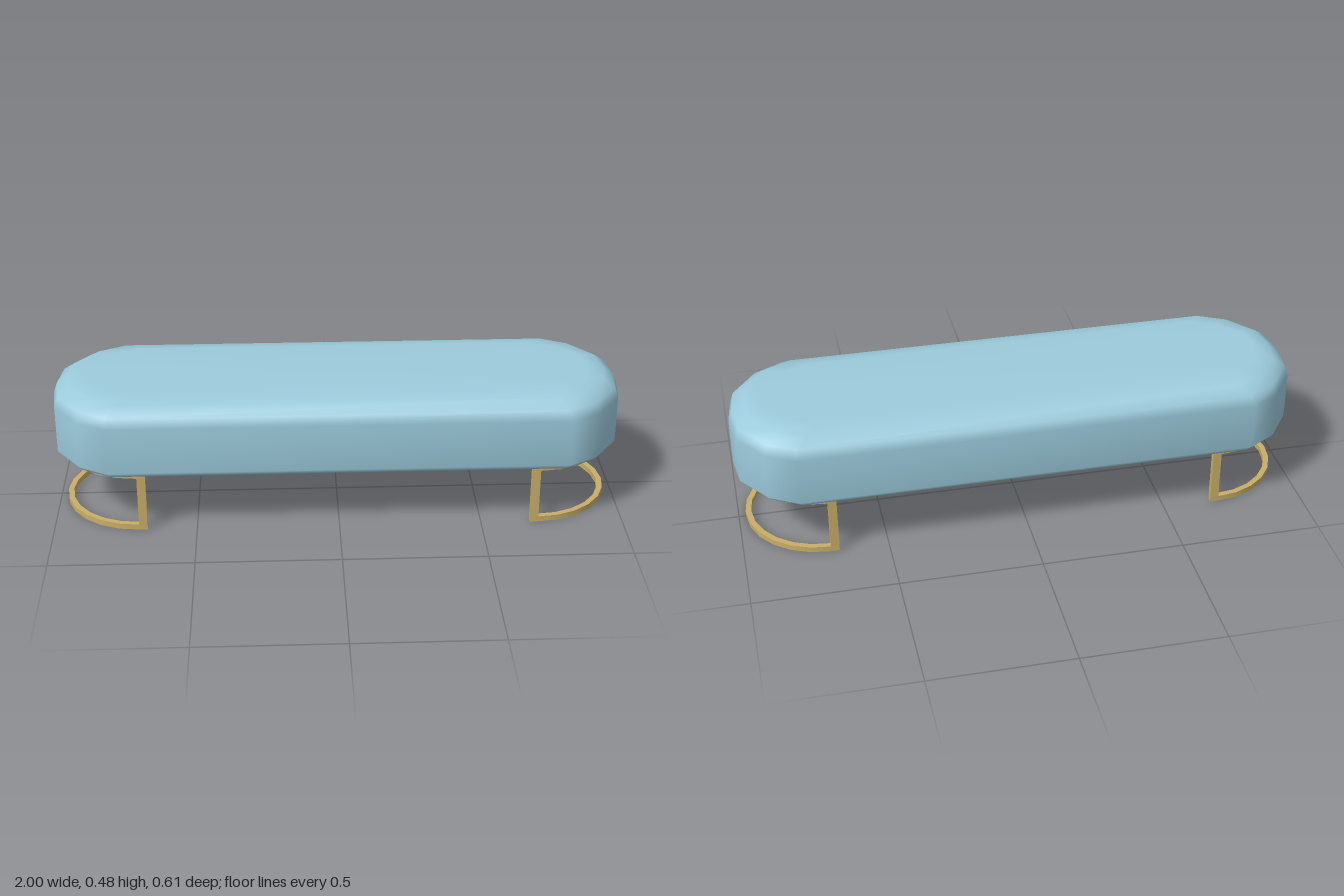
import * as THREE from 'three';
import { toCreasedNormals } from 'three/addons/utils/BufferGeometryUtils.js';

const fabric = new THREE.MeshStandardMaterial({ color: 0x9ccbdc });
fabric.name = 'blue fabric';
const brass = new THREE.MeshStandardMaterial({ color: 0xc9ae68 });
brass.name = 'brass';

// Cushion: the rounded plan outline stacked in rings, inset at top and bottom edges
function cushionGeometry() {
  const quarter = [[1, 0], [0.985, 0.125], [0.9, 0.245], [0.8, 0.303]];
  const back = quarter.slice().reverse();
  const outline = [
    ...quarter,
    ...back.map(([x, z]) => [-x, z]),
    ...quarter.slice(1).map(([x, z]) => [-x, -z]),
    ...back.slice(0, -1).map(([x, z]) => [x, -z]),
  ];
  const profile = [[0.22, 0.016], [0.24, 0], [0.41, 0], [0.445, 0.013], [0.473, 0.052], [0.484, 0.11]];
  const n = outline.length;
  const positions = [];
  const index = [];
  for (const [y, inset] of profile) {
    for (const [x, z] of outline) {
      positions.push(x * (1 - inset), y, z * (1 - inset / 0.303));
    }
  }
  const bottom = positions.length / 3;
  positions.push(0, 0.22, 0, 0, 0.484, 0);
  const last = (profile.length - 1) * n;
  for (let i = 0; i < n; i++) {
    const j = (i + 1) % n;
    for (let r = 0; r < last; r += n) {
      index.push(r + i, r + n + i, r + j, r + j, r + n + i, r + n + j);
    }
    index.push(bottom, i, j, bottom + 1, last + j, last + i);
  }
  const geometry = new THREE.BufferGeometry();
  geometry.setAttribute('position', new THREE.Float32BufferAttribute(positions, 3));
  geometry.setIndex(index);
  geometry.computeVertexNormals();
  return geometry;
}

// Flat horseshoe bar, open towards the middle of the bench
function hoopGeometry() {
  const outer = 0.272, inner = 0.252, steps = 12;
  const shape = new THREE.Shape();
  shape.moveTo(-0.03, -outer);
  for (let i = 0; i <= steps; i++) {
    const a = -Math.PI / 2 + Math.PI * i / steps;
    shape.lineTo(outer * Math.cos(a), outer * Math.sin(a));
  }
  shape.lineTo(-0.03, outer);
  shape.lineTo(-0.03, inner);
  for (let i = steps; i >= 0; i--) {
    const a = -Math.PI / 2 + Math.PI * i / steps;
    shape.lineTo(inner * Math.cos(a), inner * Math.sin(a));
  }
  shape.lineTo(-0.03, -inner);
  const geometry = new THREE.ExtrudeGeometry(shape, { depth: 0.02, bevelEnabled: false });
  geometry.rotateX(-Math.PI / 2);
  return toCreasedNormals(geometry, 0.6);
}

export function createModel() {
  const model = new THREE.Group();
  model.name = 'bench';
  const add = (parent, name, geometry, material, x, y, z) => {
    const mesh = new THREE.Mesh(geometry, material);
    mesh.name = name;
    mesh.position.set(x, y, z);
    parent.add(mesh);
  };

  add(model, 'cushion', cushionGeometry(), fabric, 0, 0, 0);

  // Leg frames: two hoops joined by two posts, one frame at each end
  const hoop = hoopGeometry();
  const post = new THREE.BoxGeometry(0.03, 0.184, 0.02);
  for (const [name, turn] of [['leftLegFrame', 0], ['rightLegFrame', Math.PI]]) {
    const frame = new THREE.Group();
    frame.name = name;
    frame.rotation.y = turn;
    add(frame, 'floorHoop', hoop, brass, 0.703, 0, 0);
    add(frame, 'upperHoop', hoop, brass, 0.703, 0.203, 0);
    add(frame, 'frontPost', post, brass, 0.688, 0.1115, 0.262);
    add(frame, 'backPost', post, brass, 0.688, 0.1115, -0.262);
    model.add(frame);
  }
  return model;
}
